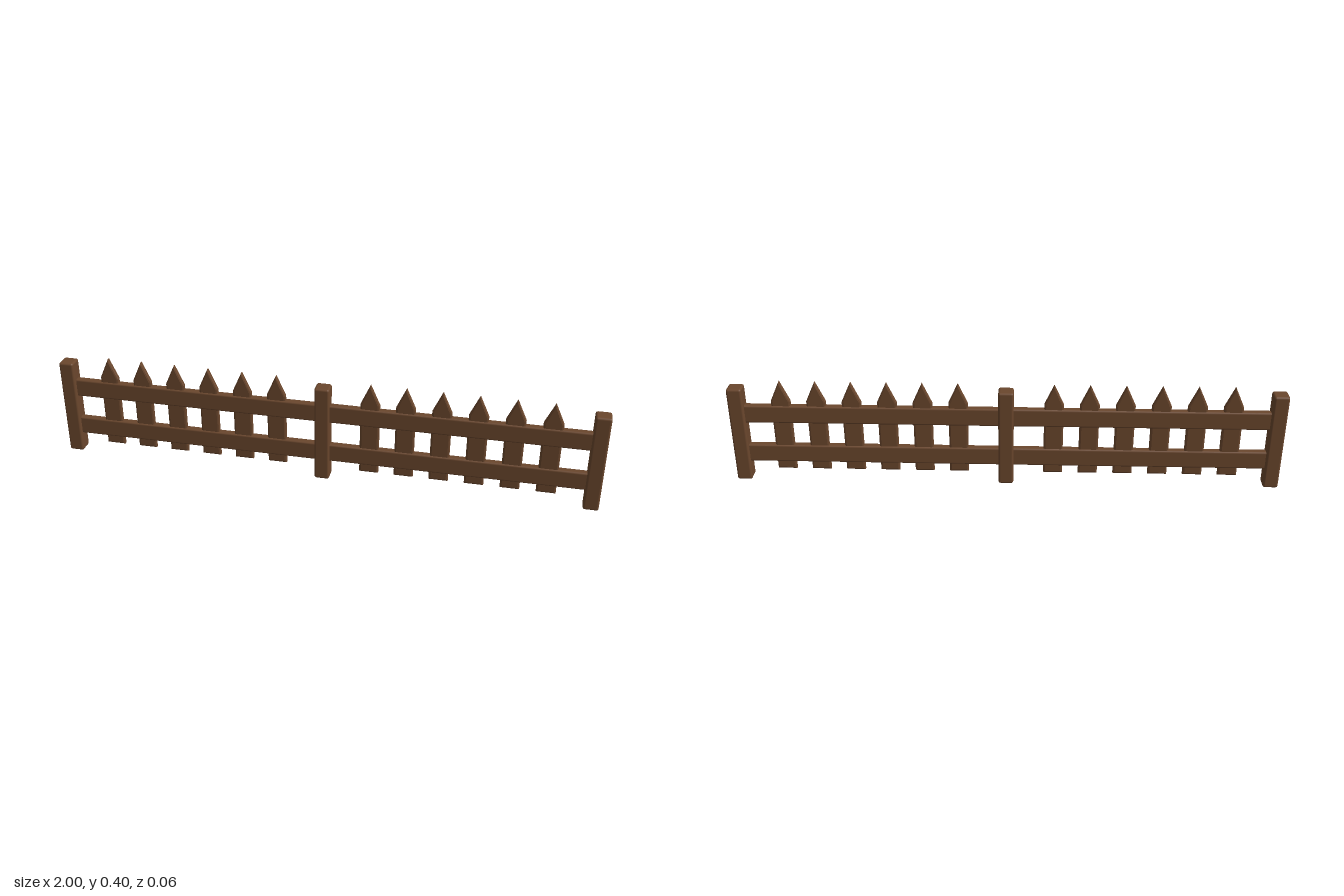
import * as THREE from 'three';
import { RoundedBoxGeometry } from 'three/addons/geometries/RoundedBoxGeometry.js';

const wood = new THREE.MeshStandardMaterial({ color: 0x6b472d });

// Softly bevelled plank, placed by its centre
function plank(name, w, h, d, bevel, x, y) {
  const mesh = new THREE.Mesh(new RoundedBoxGeometry(w, h, d, 2, bevel), wood);
  mesh.name = name;
  mesh.position.set(x, y, 0);
  return mesh;
}

// Pointed picket: bevelled outline, centred in depth
function picketGeometry() {
  const half = 0.035, bottom = 0.04, shoulder = 0.318, tip = 0.395;
  const shape = new THREE.Shape();
  shape.moveTo(-half, bottom);
  shape.lineTo(half, bottom);
  shape.lineTo(half, shoulder);
  shape.lineTo(0, tip);
  shape.lineTo(-half, shoulder);
  shape.closePath();
  const geometry = new THREE.ExtrudeGeometry(shape, {
    depth: 0.008, bevelEnabled: true, bevelThickness: 0.006,
    bevelSize: 0.007, bevelOffset: -0.007, bevelSegments: 2,
  });
  return geometry.translate(0, 0, -0.004);
}

export function createModel() {
  const fence = new THREE.Group();
  fence.name = 'picketFence';

  // Three posts
  for (const x of [-0.9725, 0, 0.9725]) {
    fence.add(plank('post', 0.055, 0.371, 0.056, 0.008, x, 0.1855));
  }

  const picket = picketGeometry();
  for (const side of [-1, 1]) {
    const section = new THREE.Group();
    section.name = side < 0 ? 'rightSection' : 'leftSection';

    // Two rails running between the posts
    for (const y of [0.106, 0.266]) {
      section.add(plank('rail', 0.94, 0.069, 0.028, 0.007, side * 0.486, y));
    }

    // Six evenly spaced pickets
    for (let i = 0; i < 6; i++) {
      const mesh = new THREE.Mesh(picket, wood);
      mesh.name = 'picket';
      mesh.position.x = side * (0.172 + i * 0.128);
      section.add(mesh);
    }
    fence.add(section);
  }
  return fence;
}
